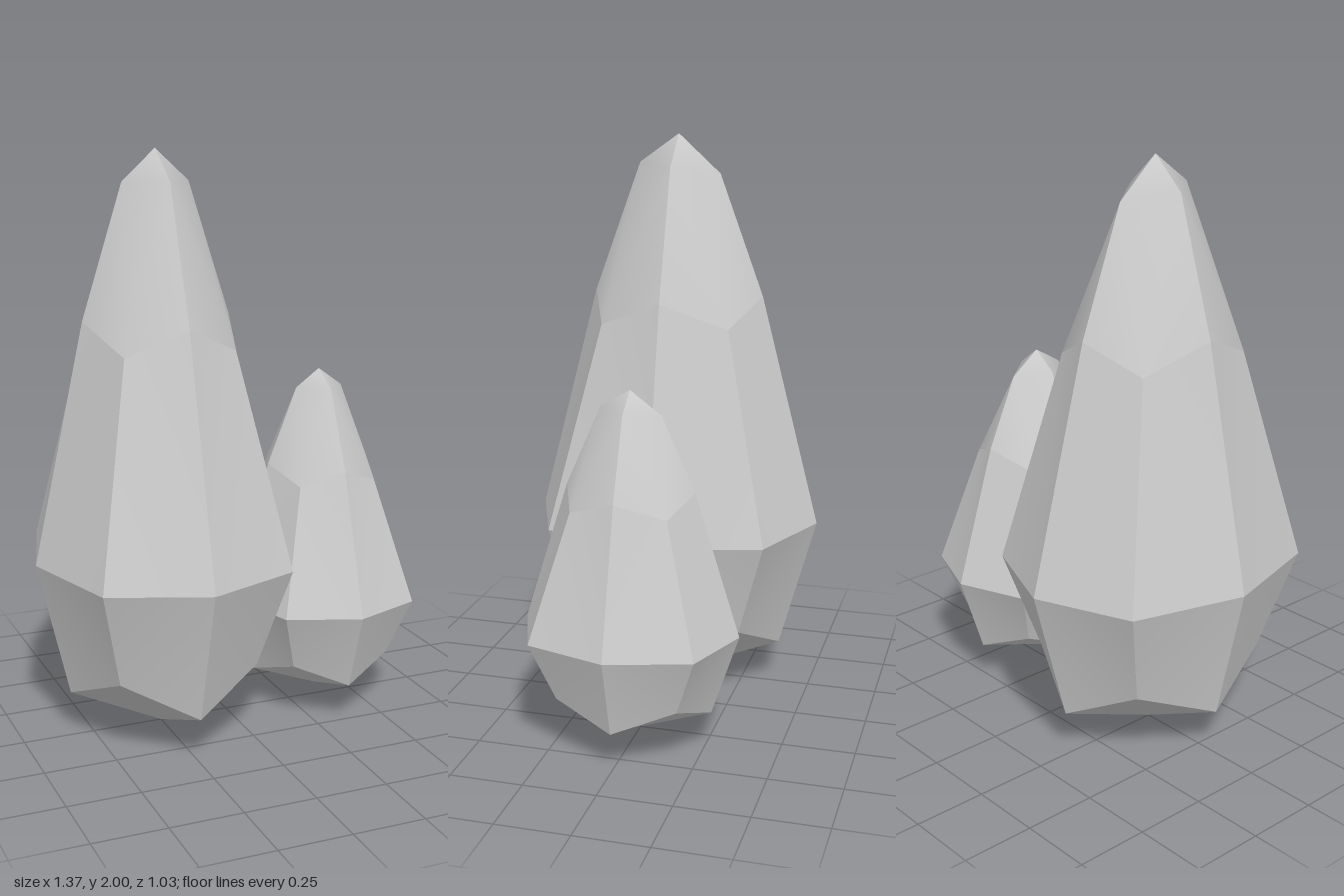
import * as THREE from 'three';
import { mergeGeometries } from 'three/addons/utils/BufferGeometryUtils.js';

const RX = 0.44, RZ = 0.517, WAIST = 0.63, TOP = 2;

// One facet with its own vertices: smooth inside, hard towards its neighbours
function facet(points, triangles, flip) {
  const geometry = new THREE.BufferGeometry();
  geometry.setAttribute('position', new THREE.Float32BufferAttribute(points.flat(), 3));
  geometry.setIndex(triangles.flatMap(([a, b, c]) => (flip ? [a, c, b] : [a, b, c])));
  geometry.computeVertexNormals();
  return geometry;
}

// Faceted shard: a 24-sided rounded cube, drawn out to a tapered tip above its waist
function shardGeometry() {
  const facets = [];
  const quad = [[0, 1, 2], [0, 2, 3]];
  for (const sx of [1, -1]) for (const sy of [1, -1]) for (const sz of [1, -1]) {
    const up = sy > 0;
    const flip = sx * sy * sz < 0;
    const height = up ? TOP - WAIST : WAIST;
    const p = (x, y, z) => [sx * x * RX, WAIST + sy * y * height, sz * z * RZ];
    const edge = up ? 0.59 : 0.75, edgeY = up ? 0.595 : 0.75;
    const corner = up ? 0.437 : 0.5556, cornerY = up ? 0.53 : 0.5556;

    const X = p(1, 0, 0), Y = p(0, 1, 0), Z = p(0, 0, 1);
    const XY = p(edge, edgeY, 0), YZ = p(0, edgeY, edge), XZ = p(0.75, 0, 0.75);
    const C = p(corner, cornerY, corner);

    facets.push(facet([X, XY, C, XZ], quad, flip));
    facets.push(facet([Z, XZ, C, YZ], quad, flip));
    if (up) {
      // Tip facet, with a shoulder point on each ridge just below the apex
      const KX = p(0.265, 0.922, 0);
      const KZ = sz > 0 ? p(0, 0.927, 0.27) : p(0, 0.902, 0.288);
      facets.push(facet([Y, KZ, YZ, C, XY, KX],
        [[0, 1, 5], [1, 3, 5], [1, 2, 3], [5, 3, 4]], flip));
    } else {
      facets.push(facet([Y, YZ, C, XY], quad, flip));
    }
  }
  return mergeGeometries(facets);
}

export function createModel() {
  const group = new THREE.Group();
  group.name = 'crystalCluster';
  const geometry = shardGeometry();
  const material = new THREE.MeshStandardMaterial({ color: 0xcccccc });

  const large = new THREE.Mesh(geometry, material);
  large.name = 'largeCrystal';
  large.position.set(-0.25, 0, 0);

  const small = new THREE.Mesh(geometry, material);
  small.name = 'smallCrystal';
  small.position.set(0.355, 0.045, 0);
  small.scale.set(0.745, 0.592, 0.715);

  group.add(large, small);
  return group;
}
